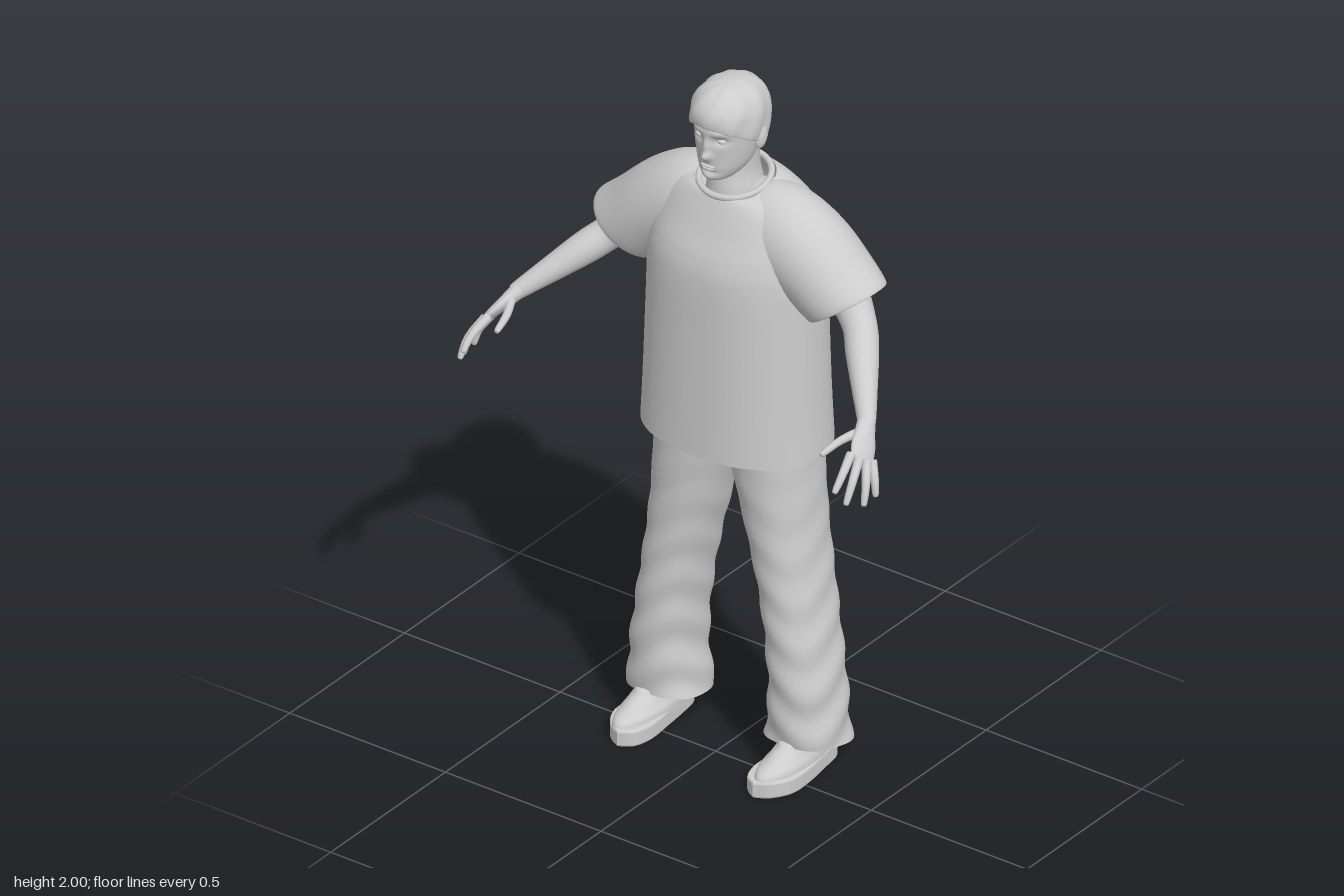
import * as THREE from 'three';

const V = (x, y, z) => new THREE.Vector3(x, y, z);
const grey = new THREE.MeshStandardMaterial({ color: 0xcccccc, side: THREE.DoubleSide });
grey.name = 'light grey';

function part(name, geometry) {
  const m = new THREE.Mesh(geometry, grey);
  m.name = name;
  return m;
}

// Smoothly fill in rows of numbers, 'steps' between each pair
function refine(rows, steps) {
  const out = [];
  const at = i => rows[Math.max(0, Math.min(rows.length - 1, i))];
  for (let i = 0; i < rows.length - 1; i++) {
    for (let s = 0; s < steps; s++) {
      const t = s / steps;
      out.push(rows[i].map((b, k) => {
        const a = at(i - 1)[k], c = at(i + 1)[k], d = at(i + 2)[k];
        return b + 0.5 * t * (c - a + t * (2 * a - 5 * b + 4 * c - d + t * (3 * (b - c) + d - a)));
      }));
    }
  }
  out.push(rows[rows.length - 1]);
  return out;
}

// Skin over closed rings; point(row, cos, sin, angle) gives each vertex
function skin(rows, seg, point, n = 2) {
  const pos = [], idx = [];
  const pw = c => Math.sign(c) * Math.pow(Math.abs(c), 2 / n);
  rows.forEach((row, i) => {
    for (let j = 0; j < seg; j++) {
      const a = (j / seg) * Math.PI * 2;
      const p = point(row, pw(Math.cos(a)), pw(Math.sin(a)), a);
      pos.push(p.x, p.y, p.z);
      if (i === rows.length - 1) continue;
      const k = i * seg + j, q = i * seg + (j + 1) % seg;
      idx.push(k, k + seg, q, q, k + seg, q + seg);
    }
  });
  const g = new THREE.BufferGeometry();
  g.setAttribute('position', new THREE.Float32BufferAttribute(pos, 3));
  g.setIndex(idx);
  g.computeVertexNormals();
  return g;
}

// Upright form; rows are [y, xMin, xMax, zFront, zBack, tilt], tilt being 0 if left out
function upright(rows, { steps = 5, seg = 48, n = 2, deform = p => p } = {}) {
  const full = rows.map(r => [...r, 0].slice(0, 6));
  return skin(refine(full, steps), seg, ([y, x0, x1, zf, zb, tilt], c, s, a) =>
    deform(V((x0 + x1) / 2 + c * (x1 - x0) / 2, y + s * tilt, (zf + zb) / 2 + s * (zf - zb) / 2), a), n);
}

// Round limb; rows are [x, y, z, radius]
function limb(rows, seg, steps) {
  const r = refine(rows, steps);
  const frames = r.map(([x, y, z, radius], i) => {
    const a = r[Math.max(0, i - 1)], b = r[Math.min(r.length - 1, i + 1)];
    const d = V(b[0] - a[0], b[1] - a[1], b[2] - a[2]).normalize();
    const v = d.clone().cross(V(1, 0, 0)).normalize();
    return { c: V(x, y, z), radius, v, u: d.clone().cross(v) };
  });
  return skin(frames, seg, (f, c, s) =>
    f.c.clone().addScaledVector(f.u, c * f.radius).addScaledVector(f.v, s * f.radius));
}

function blob(name, x, y, z, sx, sy, sz) {
  const m = part(name, new THREE.SphereGeometry(1, 20, 14));
  m.position.set(x, y, z);
  m.scale.set(sx, sy, sz);
  return m;
}

function makeHead() {
  const g = new THREE.Group();
  g.name = 'head';
  // Face relief: [x, y, width, height, push]
  const relief = [
    [0, 1.815, 0.013, 0.013, 0.02], [0, 1.845, 0.009, 0.022, 0.011],
    [0.035, 1.863, 0.02, 0.012, -0.011], [-0.035, 1.863, 0.02, 0.012, -0.011],
    [0.032, 1.886, 0.025, 0.008, 0.004], [-0.032, 1.886, 0.025, 0.008, 0.004],
    [0, 1.766, 0.024, 0.006, -0.005], [0, 1.75, 0.02, 0.01, 0.004],
  ];
  const face = p => {
    if (p.z > -0.03) for (const [x, y, w, h, d] of relief)
      p.z += d * Math.exp(-(((p.x - x) / w) ** 2) - ((p.y - y) / h) ** 2);
    return p;
  };
  g.add(part('face', upright([
    [1.735, -0.003, 0.003, 0.015, -0.02], [1.738, -0.03, 0.03, 0.027, -0.06],
    [1.75, -0.048, 0.048, 0.035, -0.09], [1.775, -0.066, 0.066, 0.037, -0.12],
    [1.81, -0.078, 0.078, 0.038, -0.145], [1.85, -0.085, 0.085, 0.041, -0.16],
    [1.89, -0.088, 0.088, 0.043, -0.165], [1.93, -0.084, 0.084, 0.035, -0.16],
    [1.96, -0.06, 0.06, 0.01, -0.13],
  ], { steps: 8, seg: 96, deform: face })));
  // Short hair cap, lower at the nape
  g.add(part('hair', upright([
    [1.848, -0.084, 0.084, 0.036, -0.15, 0.058], [1.846, -0.092, 0.092, 0.05, -0.158, 0.058],
    [1.855, -0.096, 0.096, 0.055, -0.167, 0.052], [1.89, -0.098, 0.098, 0.056, -0.182, 0.035],
    [1.93, -0.094, 0.094, 0.05, -0.183, 0.015], [1.965, -0.078, 0.078, 0.032, -0.165, 0.004],
    [1.988, -0.052, 0.052, 0.002, -0.13, 0], [1.998, -0.022, 0.022, -0.035, -0.088, 0],
    [2, -0.001, 0.001, -0.06, -0.062, 0],
  ], {
    deform: (p, a) => {
      const k = 0.002 * Math.sin(a * 9 + p.y * 40);
      return V(p.x + k * Math.cos(a), p.y, p.z + k * Math.sin(a));
    },
  })));
  g.add(part('neck', upright([
    [1.62, -0.085, 0.085, 0.0, -0.175], [1.69, -0.07, 0.07, -0.005, -0.165],
    [1.74, -0.06, 0.06, -0.012, -0.158], [1.82, -0.062, 0.062, -0.02, -0.155],
  ])));
  for (const s of [-1, 1]) {
    g.add(blob('eye', s * 0.034, 1.862, 0.02, 0.014, 0.008, 0.011));
    const ear = blob('ear', s * 0.09, 1.85, -0.075, 0.011, 0.033, 0.019);
    ear.rotation.set(-0.2, s * -0.3, 0);
    g.add(ear);
  }
  g.add(blob('upperLip', 0, 1.784, 0.035, 0.022, 0.004, 0.008));
  g.add(blob('lowerLip', 0, 1.776, 0.034, 0.019, 0.005, 0.008));
  return g;
}

function makeShirt() {
  const g = new THREE.Group();
  g.name = 'shirt';
  g.add(part('shirtBody', upright([
    [0.94, -0.265, 0.265, 0.1, -0.29], [1.1, -0.257, 0.257, 0.096, -0.285],
    [1.3, -0.25, 0.25, 0.092, -0.282], [1.45, -0.245, 0.245, 0.088, -0.28],
    [1.52, -0.24, 0.24, 0.075, -0.28], [1.58, -0.232, 0.232, 0.05, -0.272],
    [1.64, -0.205, 0.205, 0.025, -0.248], [1.68, -0.155, 0.155, 0.012, -0.215, -0.01],
    [1.7, -0.105, 0.105, 0.008, -0.182, -0.022],
  ], { seg: 64, n: 2.3 })));
  // Neckband
  const ring = [];
  for (let i = 0; i < 16; i++) {
    const a = i / 16 * Math.PI * 2;
    ring.push(V(0.096 * Math.cos(a), 1.702 - 0.022 * Math.sin(a), -0.085 + 0.092 * Math.sin(a)));
  }
  g.add(part('neckband', new THREE.TubeGeometry(new THREE.CatmullRomCurve3(ring, true), 64, 0.009, 8, true)));
  return g;
}

function makeArm() {
  const g = new THREE.Group();
  // Sleeve rows: [topX, topY, bottomX, bottomY, zCentre, zHalf]
  const sleeve = refine([
    [0.05, 1.7, 0.1, 1.42, -0.1, 0.1], [0.13, 1.707, 0.14, 1.41, -0.103, 0.115],
    [0.21, 1.685, 0.18, 1.4, -0.107, 0.12], [0.3, 1.627, 0.21, 1.385, -0.11, 0.121],
    [0.385, 1.548, 0.235, 1.368, -0.11, 0.117], [0.44, 1.5, 0.25, 1.36, -0.106, 0.108],
    [0.434, 1.494, 0.256, 1.364, -0.106, 0.1], [0.39, 1.525, 0.24, 1.4, -0.108, 0.1],
  ], 5);
  g.add(part('sleeve', skin(sleeve, 40, ([tx, ty, bx, by, z, h], c, s) =>
    V((tx + bx) / 2 + c * (tx - bx) / 2, (ty + by) / 2 + c * (ty - by) / 2, z - s * h))));
  g.add(part('bareArm', limb([
    [0.27, 1.52, -0.125, 0.06], [0.34, 1.445, -0.115, 0.055], [0.4, 1.385, -0.085, 0.046],
    [0.445, 1.345, -0.035, 0.044], [0.5, 1.295, 0.03, 0.035], [0.555, 1.245, 0.095, 0.025],
    [0.565, 1.235, 0.11, 0.022],
  ], 20, 5)));
  // Flat palm spread across the knuckles
  const D = V(0.048, -0.065, 0.087).normalize();
  const A = V(-0.03, 0.04, 0.055);
  A.addScaledVector(D, -A.dot(D)).normalize();
  const N = A.clone().cross(D);
  const palm = refine([[0, 0.024, 0.023], [0.035, 0.03, 0.02], [0.075, 0.038, 0.016],
    [0.11, 0.036, 0.012], [0.122, 0.025, 0.007], [0.125, 0.001, 0.001]], 4);
  g.add(part('palm', skin(palm, 20, ([d, w, t], c, s) =>
    V(0.555, 1.245, 0.095).addScaledVector(D, d).addScaledVector(A, c * w).addScaledVector(N, s * t))));
  const fingers = {
    indexFinger: [[0.582, 1.2, 0.2], [0.595, 1.168, 0.255], [0.597, 1.135, 0.29]],
    middleFinger: [[0.6, 1.186, 0.19], [0.617, 1.145, 0.242], [0.62, 1.1, 0.272]],
    ringFinger: [[0.611, 1.173, 0.172], [0.636, 1.13, 0.208], [0.643, 1.083, 0.226]],
    littleFinger: [[0.613, 1.168, 0.15], [0.636, 1.128, 0.17], [0.645, 1.088, 0.178]],
    thumb: [[0.562, 1.228, 0.128], [0.535, 1.215, 0.185], [0.523, 1.2, 0.243]],
  };
  for (const [name, [a, b, c]] of Object.entries(fingers)) {
    const tip = c.map((v, i) => v + (v - b[i]) * 0.1);
    g.add(part(name, limb([[...a, 0.013], [...b, 0.011], [...c, 0.008], [...tip, 0.001]], 10, 4)));
  }
  return g;
}

function makeLeg() {
  const g = new THREE.Group();
  // Loose trouser leg with soft folds that fade towards the hip
  g.add(part('trouserLeg', upright([
    [0.083, 0.112, 0.33, 0.012, -0.22, 0.018], [0.15, 0.122, 0.322, 0.012, -0.215, 0.01],
    [0.25, 0.13, 0.312, 0.014, -0.215], [0.4, 0.118, 0.29, 0.013, -0.217],
    [0.55, 0.092, 0.268, 0.013, -0.222], [0.7, 0.055, 0.25, 0.017, -0.227],
    [0.85, 0.017, 0.24, 0.025, -0.232], [0.95, -0.005, 0.235, 0.03, -0.235],
    [1.05, -0.01, 0.23, 0.03, -0.235],
  ], {
    steps: 8, n: 2.15,
    deform: (p, a) => {
      const k = 0.005 * Math.max(0, 1 - p.y) * Math.sin(p.y * 48 + 2 * Math.sin(a * 2));
      return V(p.x + k * Math.cos(a), p.y, p.z + k * Math.sin(a));
    },
  })));
  // Shoe sole, toe towards the front
  const outline = new THREE.Shape(new THREE.SplineCurve([
    [0.218, -0.128], [0.255, -0.105], [0.285, -0.05], [0.284, 0.03], [0.273, 0.11], [0.262, 0.165],
    [0.23, 0.182], [0.197, 0.165], [0.186, 0.11], [0.178, 0.03], [0.172, -0.05], [0.186, -0.105], [0.218, -0.128],
  ].map(([x, y]) => new THREE.Vector2(x, y))).getPoints(60).slice(0, -1));
  const sole = new THREE.ExtrudeGeometry(outline, {
    depth: 0.036, bevelSize: 0.006, bevelThickness: 0.006, bevelSegments: 2,
  });
  sole.rotateX(-Math.PI / 2).translate(0, 0.006, 0);
  g.add(part('shoeSole', sole));
  g.add(part('shoeUpper', upright([
    [0.04, 0.172, 0.286, 0.126, -0.182], [0.06, 0.174, 0.284, 0.115, -0.182],
    [0.078, 0.182, 0.278, 0.075, -0.178], [0.098, 0.188, 0.272, 0.035, -0.172],
    [0.113, 0.195, 0.265, 0.01, -0.16], [0.118, 0.229, 0.231, -0.07, -0.072],
  ])));
  return g;
}

export function createModel() {
  const model = new THREE.Group();
  model.name = 'standingFigure';
  model.add(makeHead(), makeShirt());
  // Seat of the trousers under the shirt
  model.add(part('trouserSeat', upright([
    [0.91, -0.02, 0.02, -0.06, -0.14], [0.925, -0.12, 0.12, 0.0, -0.21], [0.96, -0.215, 0.215, 0.028, -0.235],
    [1.06, -0.225, 0.225, 0.03, -0.235], [1.14, -0.21, 0.21, 0.025, -0.225], [1.15, -0.01, 0.01, -0.09, -0.11],
  ])));
  for (const [side, s] of [['left', 1], ['right', -1]]) {
    const arm = makeArm(), leg = makeLeg();
    arm.name = side + 'Arm';
    leg.name = side + 'Leg';
    arm.scale.x = leg.scale.x = s;
    model.add(arm, leg);
  }
  return model;
}
